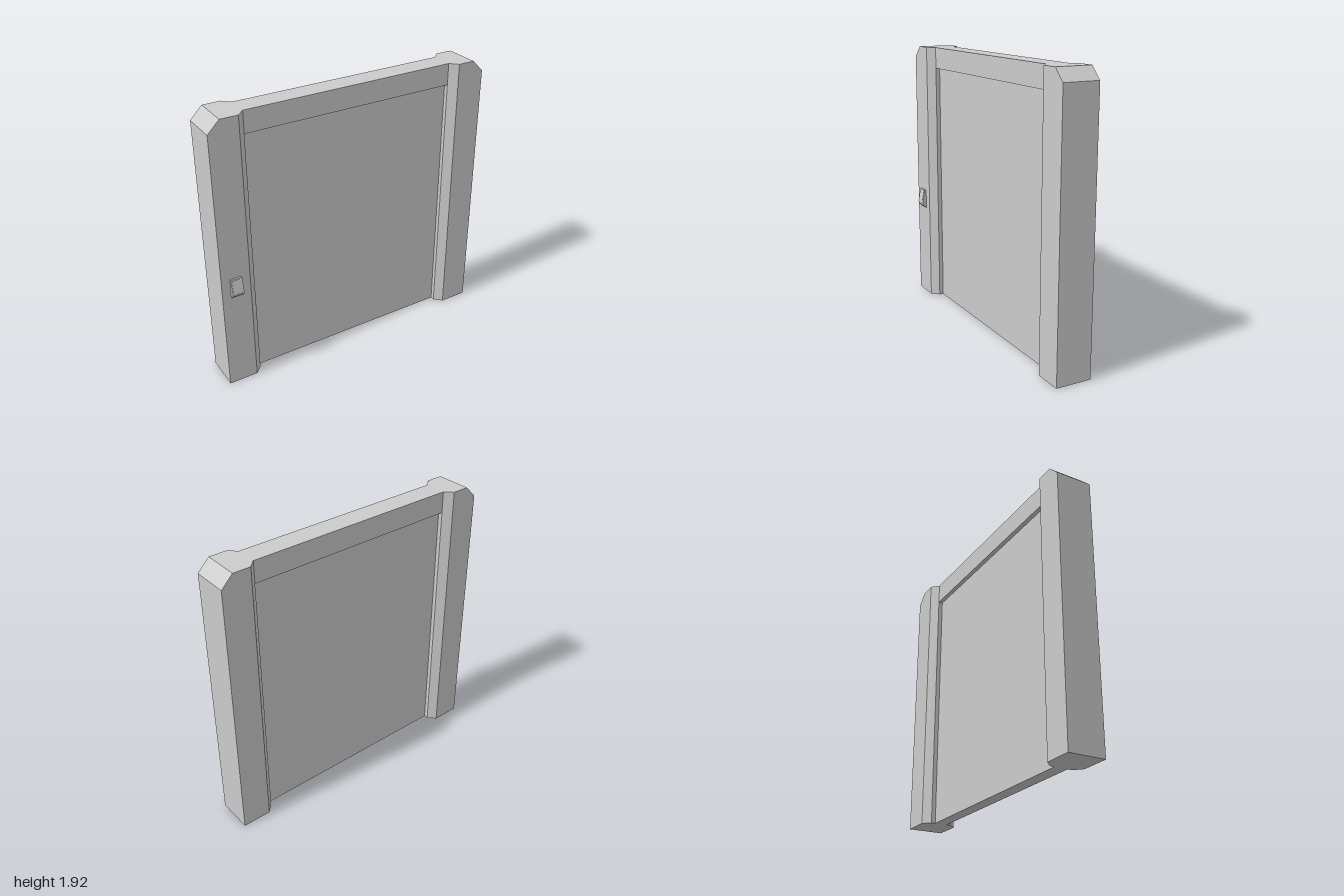
import * as THREE from 'three';

const HEIGHT = 1.92;
const MID_Z = -0.015; // centre plane of the frame
const material = new THREE.MeshStandardMaterial({ color: 0xcccccc, flatShading: true });

function addMesh(parent, name, geometry, x = 0, y = 0, z = 0) {
  const mesh = new THREE.Mesh(geometry, material);
  mesh.name = name;
  mesh.position.set(x, y, z);
  parent.add(mesh);
  return mesh;
}

// Pillar: a box with four columns, reshaped to bevel the inner edges and the outer top corner
function pillarGeometry(side) {
  const columns = [
    { x: 0.75, halfDepth: 0.075, top: HEIGHT },
    { x: 0.8, halfDepth: 0.125, top: HEIGHT },
    { x: 0.92, halfDepth: 0.125, top: HEIGHT },
    { x: 1.0, halfDepth: 0.125, top: 1.84 },
  ];
  const geometry = new THREE.BoxGeometry(1, 1, 1, 3, 1, 1).toNonIndexed();
  const p = geometry.attributes.position;
  for (let i = 0; i < p.count; i++) {
    const step = Math.round((p.getX(i) + 0.5) * 3);
    const c = columns[side > 0 ? step : 3 - step];
    p.setXYZ(i, side * c.x, p.getY(i) > 0 ? c.top : 0, Math.sign(p.getZ(i)) * c.halfDepth);
  }
  geometry.computeVertexNormals();
  return geometry;
}

// Control box: side profile (z, y) extruded across x
function controlGeometry(width) {
  const profile = [
    [0.1, 0.69], [0.112, 0.69], [0.134, 0.71], [0.14, 0.732], [0.122, 0.83], [0.1, 0.83],
  ].map(([z, y]) => new THREE.Vector2(z, y));
  const geometry = new THREE.ExtrudeGeometry(new THREE.Shape(profile), {
    depth: width, bevelEnabled: false,
  });
  geometry.rotateY(-Math.PI / 2);
  geometry.translate(width / 2, 0, 0);
  return geometry;
}

export function createModel() {
  const model = new THREE.Group();
  model.name = 'slidingDoor';

  addMesh(model, 'leftPillar', pillarGeometry(1), 0, 0, MID_Z);
  addMesh(model, 'rightPillar', pillarGeometry(-1), 0, 0, MID_Z);

  // Lintel flush with the inner pillar edges, door panel set back on both sides
  addMesh(model, 'lintel', new THREE.BoxGeometry(1.5, 0.15, 0.15), 0, HEIGHT - 0.075, MID_Z);
  addMesh(model, 'doorPanel', new THREE.BoxGeometry(1.5, 1.77, 0.09), 0, 0.885, MID_Z);

  // Wall control with a tilted screen
  const control = new THREE.Group();
  control.name = 'doorControl';
  control.position.x = -0.9;
  addMesh(control, 'controlBody', controlGeometry(0.08));
  const screen = addMesh(control, 'controlScreen', new THREE.BoxGeometry(0.064, 0.08, 0.004), 0, 0.782, 0.1308);
  screen.rotation.x = -Math.atan2(0.018, 0.098);
  model.add(control);

  return model;
}
